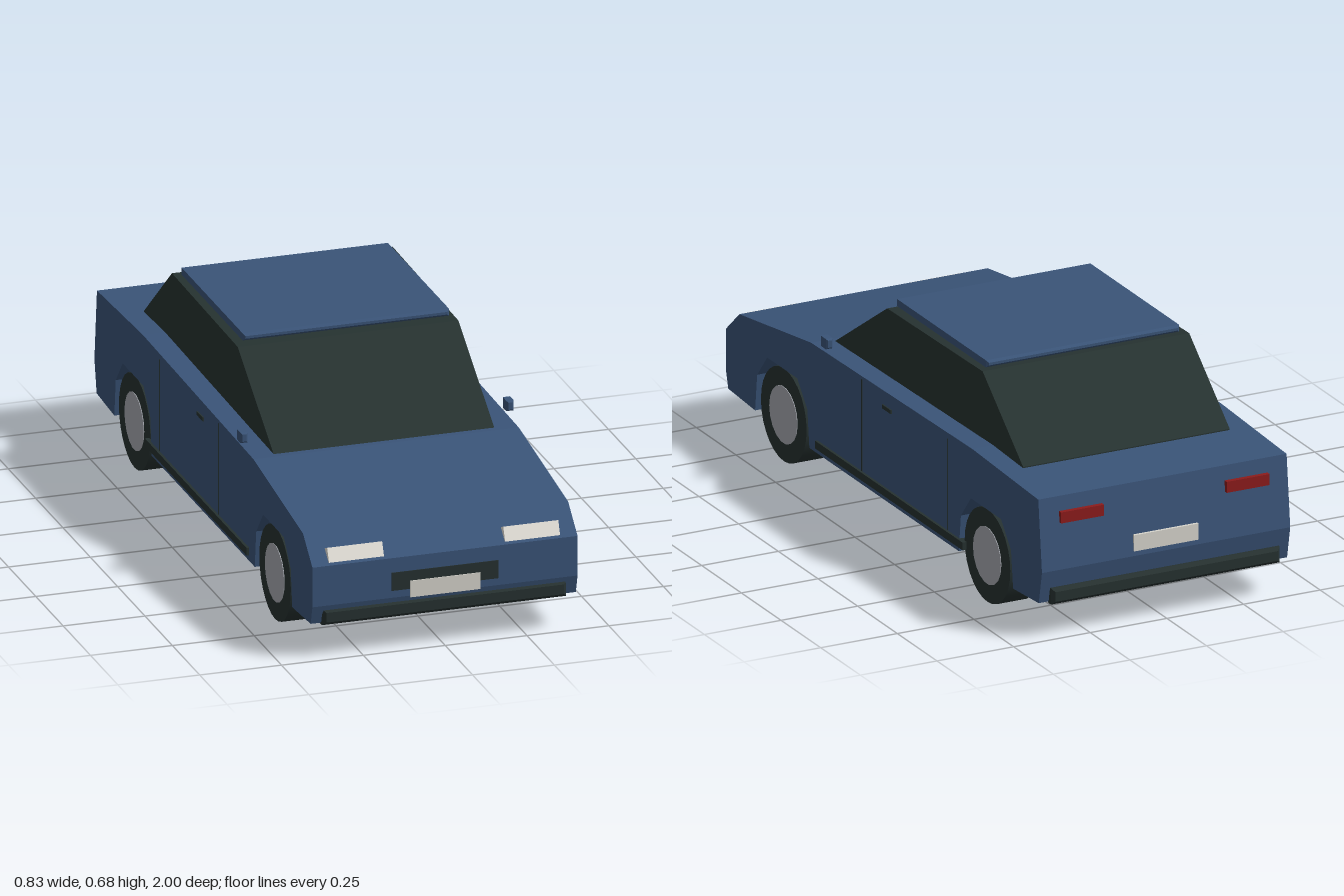
import * as THREE from 'three';

const mat = (name, color) => {
  const m = new THREE.MeshStandardMaterial({ color });
  m.name = name;
  return m;
};

export function createModel() {
  const paint = mat('blue paint', 0x3a5478);
  const glass = mat('dark glass', 0x263230);
  const trim = mat('black trim', 0x263130);
  const hubGrey = mat('hub grey', 0xa6a9b0);
  const lamp = mat('headlight white', 0xebe8e0);
  const plate = mat('plate white', 0xd6d4cc);
  const red = mat('tail light red', 0x8c1c1c);

  const car = new THREE.Group();
  car.name = 'car';

  const add = (name, geometry, material, x = 0, y = 0, z = 0) => {
    const mesh = new THREE.Mesh(geometry, material);
    mesh.name = name;
    mesh.position.set(x, y, z);
    car.add(mesh);
    return mesh;
  };
  const box = (name, material, w, h, d, x, y, z) =>
    add(name, new THREE.BoxGeometry(w, h, d), material, x, y, z);

  // side profile of (z, y) points, extruded across the car
  const acrossCar = (points, halfWidth) => {
    const shape = new THREE.Shape(points.map(([z, y]) => new THREE.Vector2(z, y)));
    const g = new THREE.ExtrudeGeometry(shape, { depth: halfWidth * 2, bevelEnabled: false });
    g.translate(0, 0, -halfWidth);
    g.rotateY(-Math.PI / 2);
    return g;
  };

  // box with all edges chamfered by b
  const chamferBox = (w, h, d, b) => {
    const x = w / 2 - b, y = h / 2 - b;
    const shape = new THREE.Shape([[-x, -y], [x, -y], [x, y], [-x, y]].map(p => new THREE.Vector2(...p)));
    const g = new THREE.ExtrudeGeometry(shape, {
      depth: d - 2 * b, bevelEnabled: true, bevelSize: b, bevelThickness: b, bevelSegments: 1
    });
    return g.translate(0, 0, -(d / 2 - b));
  };

  // body shell with wheel arches cut through
  const arch = c => [[-0.171, 0.1], [-0.158, 0.215], [-0.095, 0.29], [0.095, 0.29], [0.158, 0.215], [0.171, 0.1]]
    .map(([z, y]) => [c + z, y]);
  add('body', acrossCar([
    [-0.975, 0.11], ...arch(-0.642), ...arch(0.642), [0.982, 0.11],
    [0.998, 0.167], [0.998, 0.29], [0.912, 0.365], [0.46, 0.43],
    [-0.555, 0.446], [-0.972, 0.43], [-0.995, 0.21]
  ], 0.405), paint);

  // cabin and roof panel
  add('cabinGlass', acrossCar([
    [-0.745, 0.42], [0.455, 0.42], [0.437, 0.432], [0.112, 0.643], [-0.49, 0.652], [-0.745, 0.442]
  ], 0.337), glass);
  add('roofPanel', chamferBox(0.63, 0.022, 0.572, 0.007), paint, 0, 0.664, -0.188);

  // front details
  add('frontBumper', chamferBox(0.746, 0.05, 0.04, 0.01), trim, 0, 0.13, 0.98);
  box('grille', trim, 0.326, 0.056, 0.02, 0, 0.217, 0.99);
  box('frontPlate', plate, 0.214, 0.051, 0.01, 0, 0.189, 0.998);

  // rear details
  add('rearBumper', chamferBox(0.746, 0.05, 0.04, 0.01), trim, 0, 0.13, -0.98);
  box('rearPlate', plate, 0.21, 0.05, 0.016, 0, 0.25, -0.989);

  // parts on both sides
  for (const s of [-1, 1]) {
    const side = s > 0 ? 'left' : 'right';
    box(side + 'Headlight', lamp, 0.168, 0.044, 0.03, s * 0.269, 0.312, 0.972).rotation.x = -0.4;
    box(side + 'TailLight', red, 0.14, 0.034, 0.016, s * 0.27, 0.368, -0.983);
    box(side + 'Sill', trim, 0.02, 0.024, 0.93, s * 0.403, 0.129, -0.045);
    box(side + 'DoorHandle', trim, 0.012, 0.012, 0.056, s * 0.403, 0.388, -0.021);
    for (const z of [0.14, -0.4])
      box(side + 'DoorSeam', trim, 0.004, 0.285, 0.005, s * 0.404, 0.283, z);
    add(side + 'Mirror', chamferBox(0.022, 0.032, 0.042, 0.005), paint, s * 0.406, 0.467, 0.36);

    // wheels
    for (const z of [0.642, -0.642]) {
      const tyre = new THREE.CylinderGeometry(0.144, 0.144, 0.095, 28).rotateZ(Math.PI / 2);
      add(side + 'Tyre', tyre, trim, s * 0.3525, 0.144, z);
      const hub = new THREE.CylinderGeometry(0.088, 0.088, 0.097, 18).rotateZ(Math.PI / 2);
      add(side + 'Hub', hub, hubGrey, s * 0.3535, 0.144, z);
    }
  }
  return car;
}
